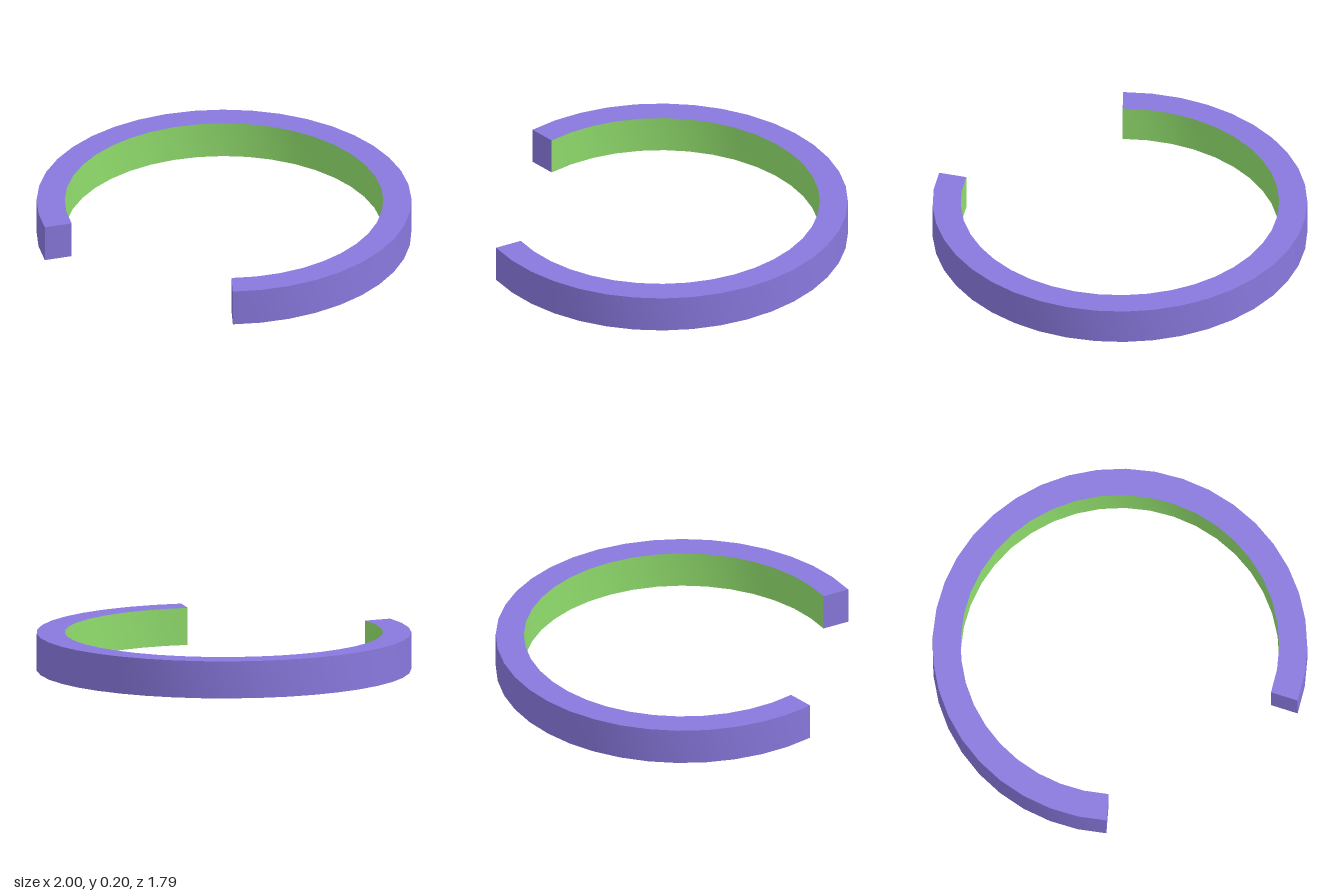
import * as THREE from 'three';
import { toCreasedNormals } from 'three/addons/utils/BufferGeometryUtils.js';

const OUTER = 1, INNER = 0.85, HEIGHT = 0.2;
const HALF_GAP = 0.66; // half the opening angle, measured from +z
const SEGMENTS = 32;

// Sweeps a profile of [radius, y] points around the open ring
function sweep(profile) {
  const points = profile.map(([r, y]) => new THREE.Vector2(r, y));
  const geometry = new THREE.LatheGeometry(points, SEGMENTS, HALF_GAP, 2 * (Math.PI - HALF_GAP));
  return toCreasedNormals(geometry, Math.PI / 6);
}

export function createModel() {
  const group = new THREE.Group();
  group.name = 'openRing';
  const purple = new THREE.MeshStandardMaterial({ color: 0x8878dd });
  const green = new THREE.MeshStandardMaterial({ color: 0x90dc6c });

  const add = (name, geometry, material) => {
    const mesh = new THREE.Mesh(geometry, material);
    mesh.name = name;
    group.add(mesh);
    return mesh;
  };

  // Underside, outer wall and top of the band
  add('bandShell', sweep([[INNER, 0], [OUTER, 0], [OUTER, HEIGHT], [INNER, HEIGHT]]), purple);

  // Coloured inner wall
  add('innerWall', sweep([[INNER, HEIGHT], [INNER, 0]]), green);

  // Flat caps closing the two ends
  const middle = (INNER + OUTER) / 2;
  for (const side of [1, -1]) {
    const cap = add(side > 0 ? 'leftEndCap' : 'rightEndCap',
      new THREE.PlaneGeometry(OUTER - INNER, HEIGHT), purple);
    cap.position.set(side * middle * Math.sin(HALF_GAP), HEIGHT / 2, middle * Math.cos(HALF_GAP));
    cap.rotation.y = side * (HALF_GAP - Math.PI / 2);
  }

  // Centre the open ring front to back
  for (const part of group.children) part.position.z += (OUTER - OUTER * Math.cos(HALF_GAP)) / 2;
  return group;
}
